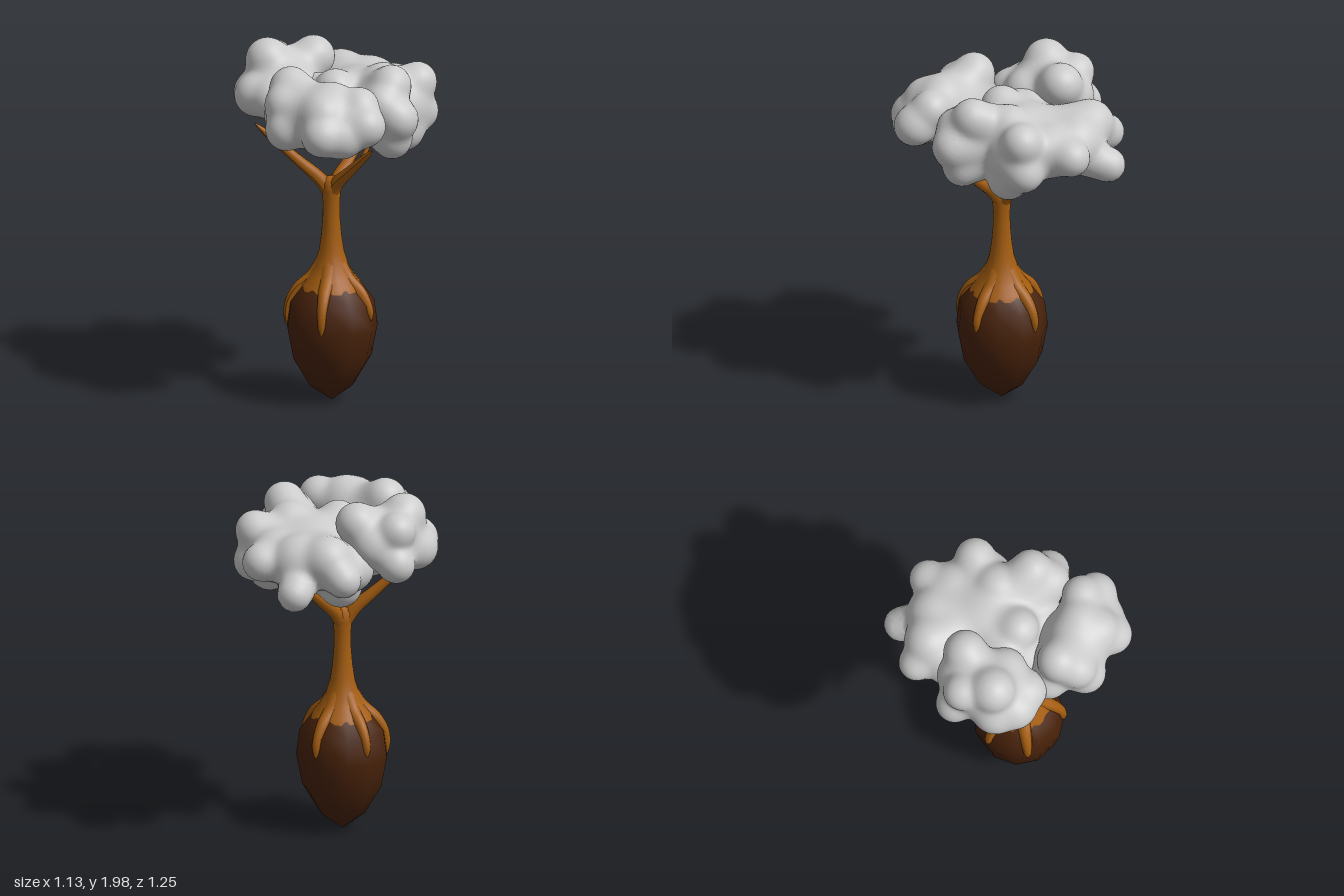
import * as THREE from 'three';
import { mergeVertices } from 'three/addons/utils/BufferGeometryUtils.js';

const bark = new THREE.MeshStandardMaterial({ color: 0xa45d10 });
const soil = new THREE.MeshStandardMaterial({ color: 0x48220a });
const leaf = new THREE.MeshStandardMaterial({ color: 0xcccccc });
const AXIS = { x: 0.035, z: 0.085 };

function add(group, name, geometry, material) {
  const mesh = new THREE.Mesh(geometry, material);
  mesh.name = name;
  group.add(mesh);
}

function addGroup(parent, name) {
  const group = new THREE.Group();
  group.name = name;
  parent.add(group);
  return group;
}

function lathe(profile, sides) {
  return new THREE.LatheGeometry(profile.map(([r, y]) => new THREE.Vector2(r, y)), sides)
    .translate(AXIS.x, 0, AXIS.z);
}

// Tube along points whose radius runs from r0 to r1 and closes at its tip
function taperedTube(points, r0, r1) {
  const n = 20, sides = 10;
  const curve = new THREE.CatmullRomCurve3(points.map(p => new THREE.Vector3(...p)));
  const geo = new THREE.TubeGeometry(curve, n, 1, sides);
  const pos = geo.attributes.position, v = new THREE.Vector3();
  for (let i = 0; i <= n; i++) {
    const t = i / n, c = curve.getPointAt(t);
    const r = THREE.MathUtils.lerp(r0, r1, t) * Math.sqrt(Math.min(1, (1 - t) * 8 + 0.001));
    for (let j = 0; j <= sides; j++) {
      const k = i * (sides + 1) + j;
      v.fromBufferAttribute(pos, k).sub(c).multiplyScalar(r).add(c);
      pos.setXYZ(k, v.x, v.y, v.z);
    }
  }
  geo.computeVertexNormals();
  return geo;
}

// Sphere pulled in from outside onto the smooth union of its lumps [x, y, z, r],
// each lump joined to the centre by a thick stem
function lumpyBlob(center, lumps) {
  let geo = new THREE.IcosahedronGeometry(1, 22);
  geo.deleteAttribute('normal');
  geo.deleteAttribute('uv');
  geo = mergeVertices(geo, 1e-5);
  const k = 0.022, shrink = 0.01, c = new THREE.Vector3(...center);
  const stems = lumps.map(([x, y, z, r]) => ({ axis: new THREE.Vector3(x, y, z).sub(c), r }));
  const near = new THREE.Vector3();
  // p is measured from the centre
  const distance = p => {
    let sum = 0;
    for (const { axis, r } of stems) {
      const t = THREE.MathUtils.clamp(p.dot(axis) / (axis.lengthSq() || 1), 0, 1);
      sum += Math.exp((r - shrink - near.copy(axis).multiplyScalar(t).distanceTo(p)) / k);
    }
    return -k * Math.log(sum);
  };
  const pos = geo.attributes.position, dir = new THREE.Vector3(), p = new THREE.Vector3();
  for (let i = 0; i < pos.count; i++) {
    dir.fromBufferAttribute(pos, i).normalize();
    let t = 0.9;
    for (let step = 0; step < 60 && t > 0.05; step++) {
      const d = distance(p.copy(dir).multiplyScalar(t));
      if (d < 0.0005) break;
      t -= d;
    }
    p.copy(dir).multiplyScalar(t).add(c);
    pos.setXYZ(i, p.x, p.y, p.z);
  }
  geo.computeVertexNormals();
  return geo;
}

export function createModel() {
  const tree = new THREE.Group();
  tree.name = 'tree';

  // Egg-shaped root ball, pointed at the bottom
  add(tree, 'rootBall', lathe([[0, 0.005], [0.125, 0.1], [0.218, 0.26], [0.25, 0.43],
    [0.232, 0.57], [0.165, 0.66], [0.09, 0.71], [0, 0.73]], 11), soil);

  // Trunk, flaring out over the root ball
  add(tree, 'trunk', lathe([[0.172, 0.645], [0.158, 0.672], [0.125, 0.715], [0.092, 0.775], [0.068, 0.85],
    [0.055, 0.94], [0.047, 1.04], [0.046, 1.12], [0.052, 1.19], [0.056, 1.235], [0.035, 1.265], [0, 1.27]], 20), bark);

  // Roots gripping the ball: [direction in degrees from +x towards +z, tip height]
  const roots = addGroup(tree, 'roots');
  for (const [angle, tip] of [[65, 0.43], [-10, 0.48], [-94, 0.46], [195, 0.47], [140, 0.43]]) {
    const a = THREE.MathUtils.degToRad(angle);
    const at = (r, y) => [AXIS.x + r * Math.cos(a), y, AXIS.z + r * Math.sin(a)];
    add(roots, 'root', taperedTube([at(0.025, 0.8), at(0.1, 0.7), at(0.18, 0.635),
      at(0.228, 0.555), at(0.242, tip)], 0.052, 0.017), bark);
  }

  // Branches reaching into the crown, each with a short twig
  const branches = addGroup(tree, 'branches');
  const ends = [
    [[-0.28, 1.58, 0.36], [-0.19, 1.55, 0.24]],
    [[0.36, 1.49, 0.14], [0.3, 1.53, 0.06]],
    [[0.05, 1.52, -0.3], [-0.03, 1.5, -0.25]],
  ];
  for (const [end, twig] of ends) {
    const along = t => [AXIS.x + (end[0] - AXIS.x) * t, 1.2 + (end[1] - 1.2) * t, AXIS.z + (end[2] - AXIS.z) * t];
    add(branches, 'branch', taperedTube([[AXIS.x, 1.17, AXIS.z], along(0.15), along(0.4), along(0.72), end],
      0.043, 0.013), bark);
    add(branches, 'twig', taperedTube([along(0.72), twig], 0.016, 0.009), bark);
  }

  // Crown of three overlapping lumpy clusters
  const crown = addGroup(tree, 'crown');
  add(crown, 'leftFoliage', lumpyBlob([-0.31, 1.74, 0.09], [
    [-0.31, 1.74, 0.09, 0.16], [-0.36, 1.87, 0.14, 0.125], [-0.44, 1.83, -0.01, 0.105],
    [-0.41, 1.68, 0.18, 0.125], [-0.34, 1.7, 0.27, 0.12], [-0.22, 1.7, 0.27, 0.12],
    [-0.46, 1.65, -0.04, 0.11], [-0.23, 1.85, -0.1, 0.125], [-0.21, 1.64, 0.02, 0.13],
    [-0.33, 1.74, -0.08, 0.13], [-0.18, 1.75, 0.12, 0.12],
  ]), leaf);
  add(crown, 'frontFoliage', lumpyBlob([0.2, 1.7, 0.37], [
    [0.2, 1.7, 0.37, 0.16], [-0.03, 1.83, 0.36, 0.12], [0.04, 1.63, 0.49, 0.12],
    [0.24, 1.79, 0.34, 0.11], [0.3, 1.645, 0.515, 0.115], [0.455, 1.69, 0.33, 0.12],
    [0.03, 1.7, 0.35, 0.15], [-0.1, 1.65, 0.34, 0.11], [0.37, 1.63, 0.42, 0.12],
    [0.16, 1.63, 0.25, 0.12], [0.0, 1.76, 0.46, 0.11], [0.26, 1.75, 0.45, 0.11],
    [0.38, 1.78, 0.28, 0.11],
  ]), leaf);
  add(crown, 'backFoliage', lumpyBlob([0.06, 1.63, -0.14], [
    [0.06, 1.63, -0.14, 0.18], [0.05, 1.76, 0.07, 0.12], [0.21, 1.77, -0.15, 0.12],
    [0.36, 1.82, -0.02, 0.12], [0.455, 1.66, 0.04, 0.12], [0.4, 1.53, 0.02, 0.115],
    [0.3, 1.755, -0.33, 0.115], [0.29, 1.5, -0.22, 0.12], [0.1, 1.66, -0.51, 0.11],
    [-0.16, 1.54, -0.53, 0.105], [-0.06, 1.66, -0.38, 0.16], [-0.34, 1.61, -0.34, 0.105],
    [-0.22, 1.7, -0.33, 0.14], [-0.13, 1.475, -0.12, 0.125], [-0.25, 1.62, -0.18, 0.14],
    [0.26, 1.63, -0.25, 0.16], [0.3, 1.66, 0.02, 0.15], [-0.12, 1.67, 0.05, 0.15],
    [0.18, 1.6, 0.14, 0.14], [0.38, 1.74, 0.09, 0.11], [0.12, 1.66, -0.36, 0.15],
    [-0.03, 1.6, 0.15, 0.13], [0.3, 1.58, -0.35, 0.11],
  ]), leaf);

  return tree;
}
